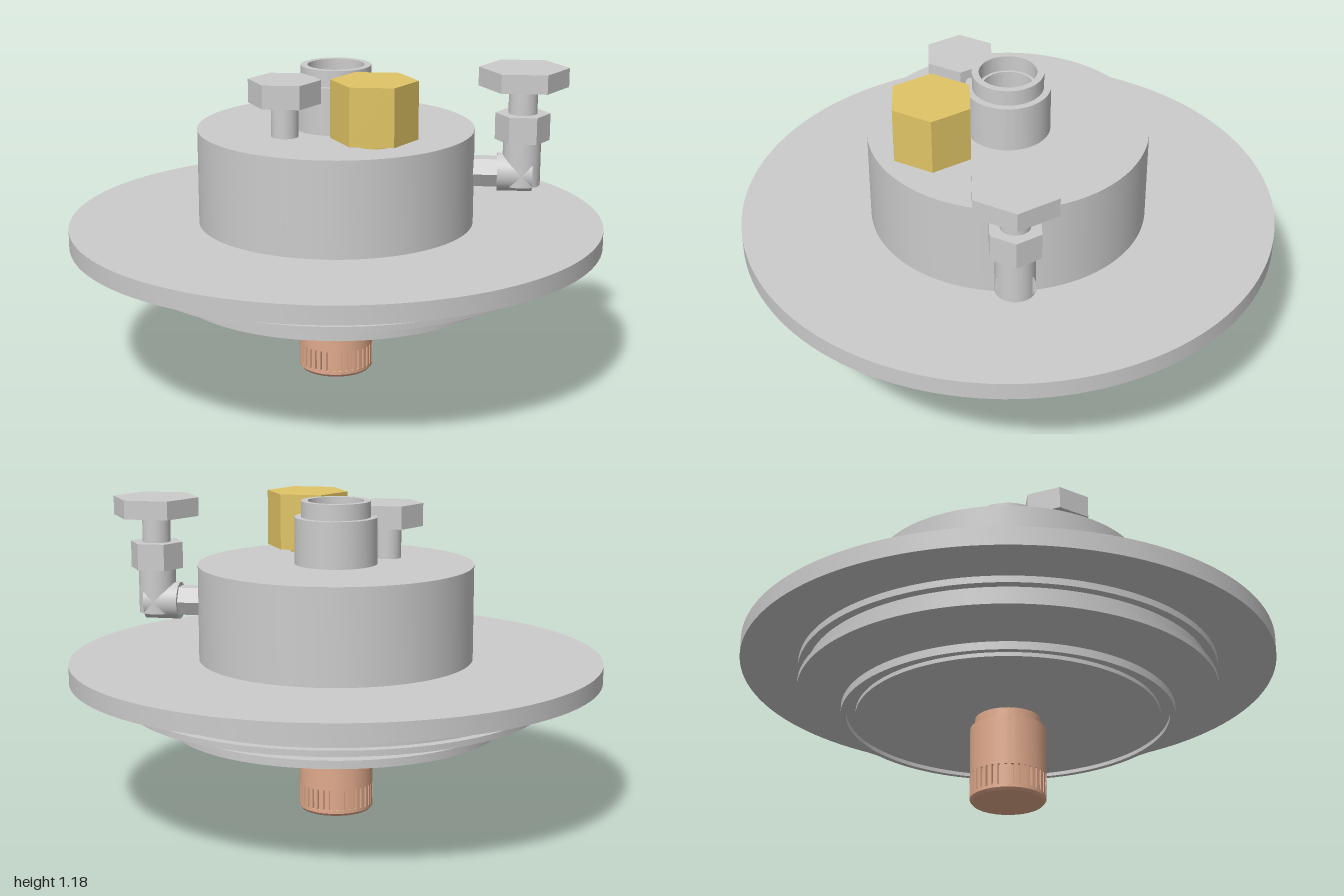
import * as THREE from 'three';
import { toCreasedNormals } from 'three/addons/utils/BufferGeometryUtils.js';

const grey = new THREE.MeshStandardMaterial({ color: 0xcccccc });
const brass = new THREE.MeshStandardMaterial({ color: 0xe0c465 });
const copper = new THREE.MeshStandardMaterial({ color: 0xe0aa8c });

export function createModel() {
  const model = new THREE.Group();

  function add(parent, name, geometry, material, x = 0, y = 0, z = 0) {
    const mesh = new THREE.Mesh(geometry, material);
    mesh.name = name;
    mesh.position.set(x, y, z);
    parent.add(mesh);
    return mesh;
  }

  // Turned part from [radius, height] pairs, listed bottom, outside, top
  const turned = (points, segments = 96) => toCreasedNormals(
    new THREE.LatheGeometry(points.map(([r, y]) => new THREE.Vector2(r, y)), segments), 0.5);

  // Upright cylinder between two heights
  const rod = (parent, name, r, y0, y1, material, x, z) =>
    add(parent, name, new THREE.CylinderGeometry(r, r, y1 - y0, 40), material, x, (y0 + y1) / 2, z);

  // Upright hexagonal prism with corners pointing along x
  function hex(parent, name, r, y0, y1, material, x, z) {
    const g = new THREE.CylinderGeometry(r, r, y1 - y0, 6).rotateY(Math.PI / 6);
    return add(parent, name, toCreasedNormals(g, 0.5), material, x, (y0 + y1) / 2, z);
  }

  // Flange, grooved underside, drum and stepped neck with a through bore
  add(model, 'flangedBody', turned([
    [0.095, 0.325], [0.565, 0.325], [0.565, 0.34], [0.6, 0.34], [0.6, 0.325],
    [0.62, 0.325], [0.62, 0.355], [0.43, 0.355], [0.43, 0.415],
    [0.785, 0.415], [0.785, 0.437], [0.752, 0.437], [0.752, 0.495],
    [0.785, 0.495], [0.785, 0.52], [1, 0.52], [1, 0.588],
    [0.515, 0.588], [0.515, 0.945], [0.155, 0.945], [0.155, 1.12],
    [0.13, 1.12], [0.13, 1.18], [0.105, 1.18], [0.105, 1.12],
    [0.095, 1.12], [0.095, 0.325],
  ], 128), grey);

  // Copper tip: plain sleeve, chamfered foot and slotted band
  const tip = new THREE.Group();
  tip.name = 'copperTip';
  model.add(tip);
  add(tip, 'tipSleeve', turned([
    [0, 0.1], [0.14, 0.1], [0.14, 0.285], [0.122, 0.285], [0.122, 0.325], [0, 0.325],
  ]), copper);
  add(tip, 'tipFoot', turned([
    [0, 0], [0.132, 0], [0.14, 0.01], [0.14, 0.022], [0, 0.022],
  ]), copper);
  const slots = 36, band = new THREE.Shape();
  for (let i = 0; i < slots; i++) {
    const step = Math.PI * 2 / slots;
    [[0, 0.128], [0.38, 0.128], [0.38, 0.14], [0.69, 0.14], [1, 0.14]].forEach(([t, r], k) => {
      const a = (i + t) * step;
      band[i + k === 0 ? 'moveTo' : 'lineTo'](r * Math.cos(a), r * Math.sin(a));
    });
  }
  band.closePath();
  const bandGeometry = new THREE.ExtrudeGeometry(band, { depth: 0.078, bevelEnabled: false });
  add(tip, 'slottedBand', bandGeometry.rotateX(-Math.PI / 2), copper, 0, 0.022, 0);

  // Brass plug
  const plug = new THREE.Group();
  plug.name = 'brassPlug';
  model.add(plug);
  rod(plug, 'plugStem', 0.067, 0.94, 0.97, brass, 0.16, 0.275);
  hex(plug, 'plugHead', 0.157, 0.968, 1.18, brass, 0.16, 0.275);

  // Small bolt
  const bolt = new THREE.Group();
  bolt.name = 'smallBolt';
  model.add(bolt);
  rod(bolt, 'boltStem', 0.05, 0.94, 1.07, grey, -0.172, 0.17);
  hex(bolt, 'boltHead', 0.133, 1.068, 1.155, grey, -0.172, 0.17);

  // Elbow valve on the left side of the drum
  const valve = new THREE.Group();
  valve.name = 'sideValve';
  model.add(valve);
  const inlet = hex(valve, 'inletHex', 0.06, 0, 0.11, grey, 0, 0);
  inlet.rotation.set(Math.PI / 2, 0, Math.PI / 2, 'ZYX');
  inlet.geometry.rotateY(Math.PI / 2);
  inlet.rotation.set(0, 0, Math.PI / 2);
  inlet.position.set(0.555, 0.787, 0);
  const elbow = rod(valve, 'elbowArm', 0.07, 0, 0.13, grey, 0, 0);
  elbow.rotation.z = Math.PI / 2;
  elbow.position.set(0.665, 0.785, 0);
  rod(valve, 'valveBody', 0.07, 0.74, 0.915, grey, 0.69, 0);
  hex(valve, 'valveNut', 0.101, 0.91, 1.01, grey, 0.69, 0);
  rod(valve, 'valveStem', 0.053, 1.005, 1.115, grey, 0.69, 0);
  hex(valve, 'valveKnob', 0.165, 1.11, 1.18, grey, 0.69, 0);

  return model;
}
